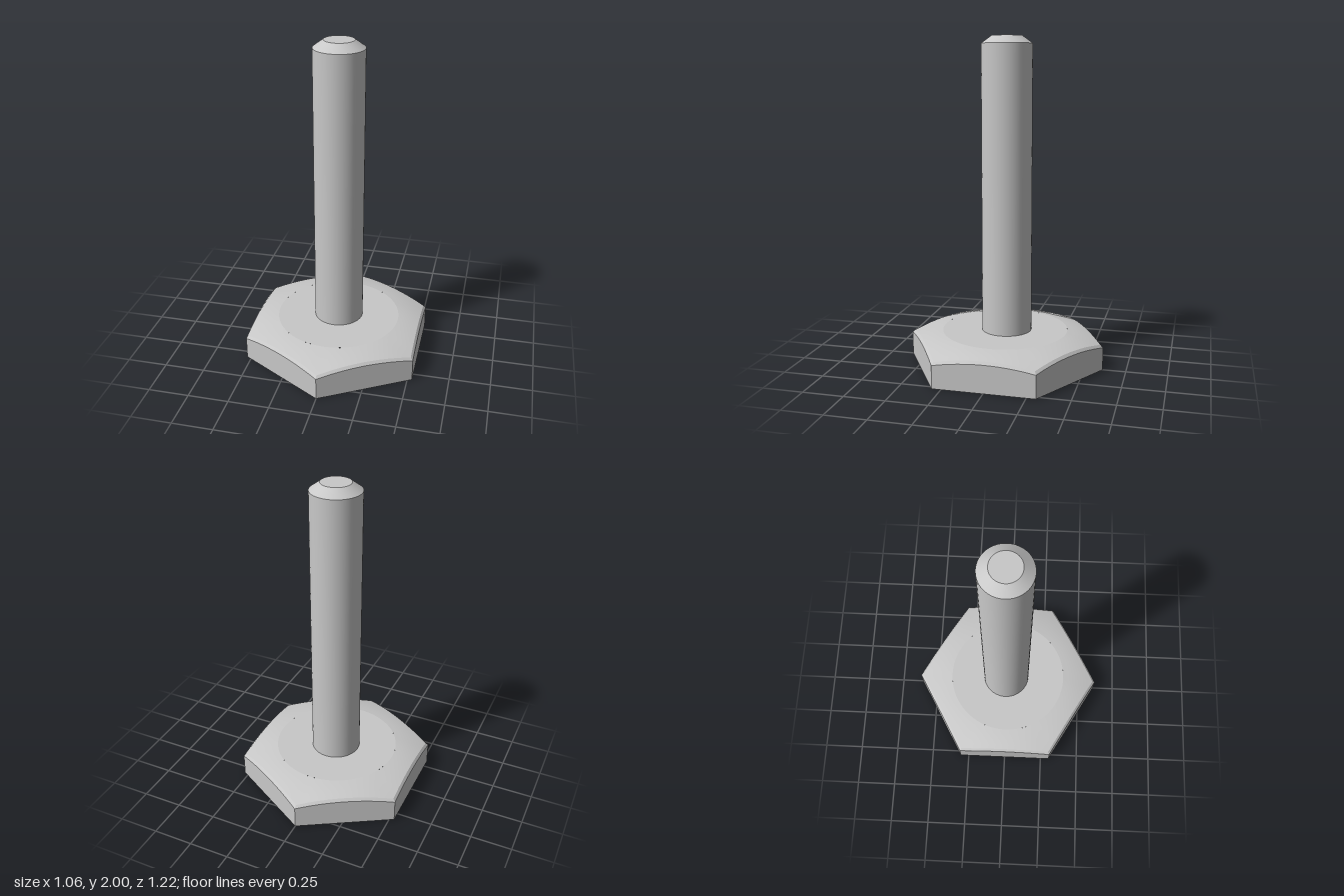
import * as THREE from 'three';
import { mergeVertices, mergeGeometries } from 'three/addons/utils/BufferGeometryUtils.js';

const CORNER = 0.61;   // hexagon corner radius, corners on +z and -z
const STEPS = 12;      // samples along one side

// Point on the hexagon outline; s counts sides from the +z corner towards +x
function hexPoint(s) {
  const side = Math.floor(s), t = s - side;
  const a = side * Math.PI / 3, b = a + Math.PI / 3;
  return {
    x: CORNER * (Math.sin(a) * (1 - t) + Math.sin(b) * t),
    z: CORNER * (Math.cos(a) * (1 - t) + Math.cos(b) * t),
    arch: 0.03 * (1 - (2 * t - 1) ** 2), // edge rises in the middle of a side
  };
}

// Rings from bottom to top, each returning [x, y, z]
const ground = s => { const p = hexPoint(s); return [p.x, 0, p.z]; };
const edge = s => { const p = hexPoint(s); return [p.x, 0.14 + p.arch, p.z]; };
const bevel = s => { const p = hexPoint(s); return [p.x * 0.973, 0.157 + p.arch, p.z * 0.973]; };
const TOP_R = 0.385, TOP_Y = 0.215;
const domeRing = k => s => {
  const [x, y, z] = bevel(s), r = Math.hypot(x, z);
  const m = (r + (TOP_R - r) * k) / r;
  const rise = k + 0.35 * k * (1 - k);
  return [x * m, y + (TOP_Y - y) * rise, z * m];
};
const holeRing = s => { const p = hexPoint(s), m = 0.335 / Math.hypot(p.x, p.z); return [p.x * m, 0, p.z * m]; };

// Surface through rings, from side position s0 to s1
function loft(rings, s0, s1) {
  const n = Math.round((s1 - s0) * STEPS), pos = [], idx = [];
  for (const ring of rings)
    for (let i = 0; i <= n; i++) pos.push(...ring(s0 + (i / n) * (s1 - s0)));
  for (let j = 0; j < rings.length - 1; j++)
    for (let i = 0; i < n; i++) {
      const a = j * (n + 1) + i, b = a + 1, c = b + n + 1, d = a + n + 1;
      idx.push(a, b, c, a, c, d);
    }
  const g = new THREE.BufferGeometry();
  g.setAttribute('position', new THREE.Float32BufferAttribute(pos, 3));
  g.setIndex(idx);
  const merged = mergeVertices(g, 1e-4);
  merged.computeVertexNormals();
  return merged;
}

// One strip per side, so corners stay sharp
function sixSides(rings) {
  // stop just short of each corner so the last sample stays on its own side
  return mergeGeometries([0, 1, 2, 3, 4, 5].map(i => loft(rings, i, i + 1 - 1e-6)));
}

export function createModel() {
  const model = new THREE.Group();
  model.name = 'hexBaseStud';
  const steel = new THREE.MeshStandardMaterial({ color: 0xc8c8c8, side: THREE.DoubleSide });
  steel.name = 'light grey steel';

  const add = (parent, name, geometry) => {
    const mesh = new THREE.Mesh(geometry, steel);
    mesh.name = name;
    parent.add(mesh);
    return mesh;
  };

  // Hollow hexagonal base
  const base = new THREE.Group();
  base.name = 'hexBase';
  model.add(base);
  add(base, 'sideWalls', sixSides([ground, edge]));
  add(base, 'edgeBevel', sixSides([edge, bevel]));
  add(base, 'roundedShoulder', loft([0, 0.2, 0.4, 0.6, 0.8, 1].map(domeRing), 0, 6));
  const top = add(base, 'topFace', new THREE.CircleGeometry(TOP_R, 72).rotateX(-Math.PI / 2));
  top.position.y = TOP_Y;
  // Underside plate with a round opening
  add(base, 'underside', loft([holeRing, ground], 0, 6));

  // Stud: open at the lower end, chamfered at the tip
  const stud = new THREE.Group();
  stud.name = 'stud';
  stud.position.z = -0.01;
  model.add(stud);
  const R = 0.152, TIP_R = 0.09, LOW = 0.11, SHOULDER = 1.955, TIP = 2;
  const shaft = add(stud, 'shaft', new THREE.CylinderGeometry(R, R, SHOULDER - LOW, 64, 1, true));
  shaft.position.y = (SHOULDER + LOW) / 2;
  const chamfer = add(stud, 'tipChamfer', new THREE.CylinderGeometry(TIP_R, R, TIP - SHOULDER, 64, 1, true));
  chamfer.position.y = (TIP + SHOULDER) / 2;
  const cap = add(stud, 'tipFace', new THREE.CircleGeometry(TIP_R, 64).rotateX(-Math.PI / 2));
  cap.position.y = TIP;

  return model;
}
